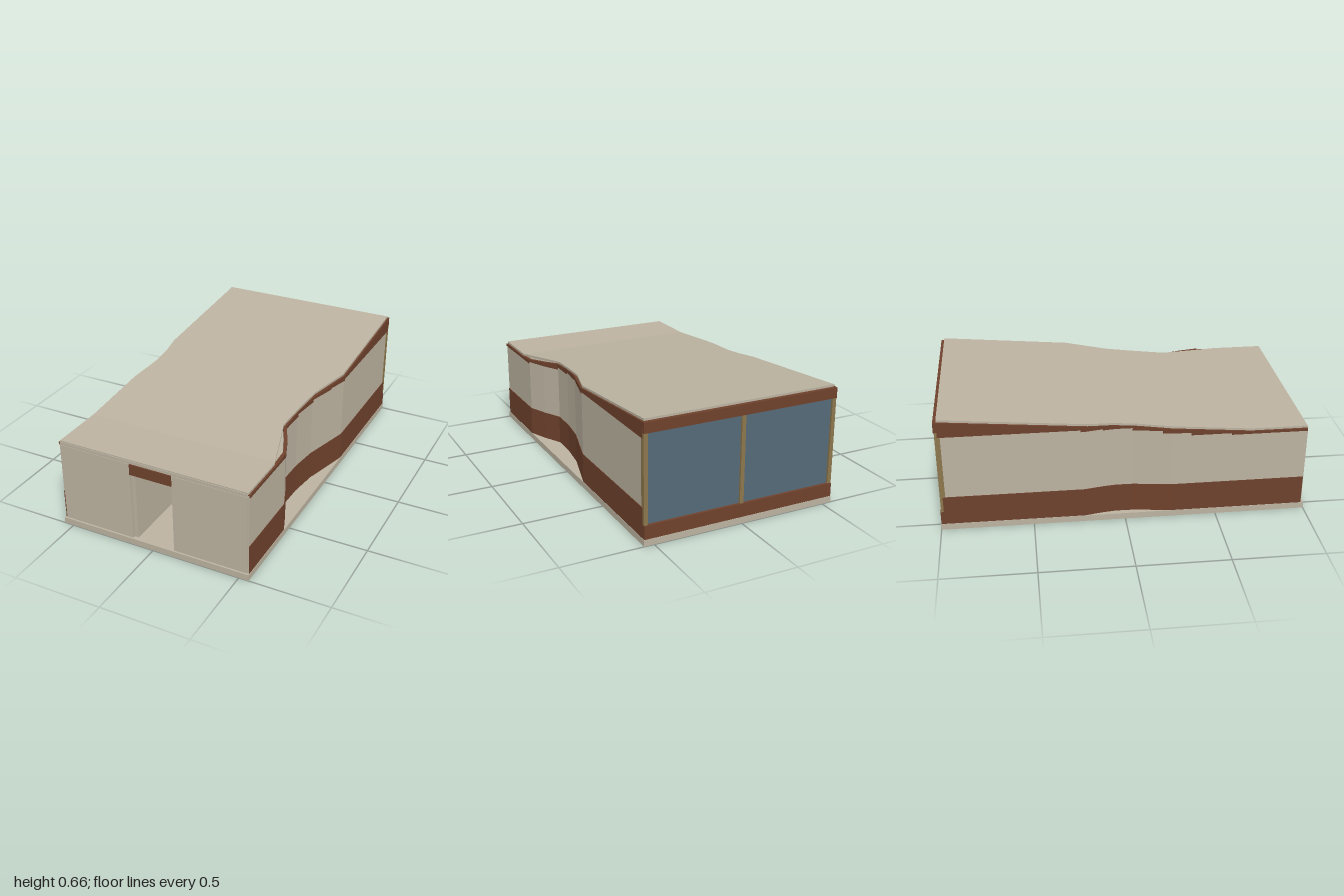
import * as THREE from 'three';

const mat = (name, color) => {
  const m = new THREE.MeshStandardMaterial({ color });
  m.name = name;
  return m;
};

// Lofts a rectangular section along z; each station is [z, x0, x1, bottom, top], front to back.
function loft(stations) {
  const rings = stations.map(([z, x0, x1, b, t]) => [[x0, b, z], [x1, b, z], [x1, t, z], [x0, t, z]]);
  const pos = [];
  const quad = (a, b, c, d) => pos.push(...a, ...b, ...c, ...a, ...c, ...d);
  for (let i = 0; i < rings.length - 1; i++) {
    const p = rings[i], q = rings[i + 1];
    for (let j = 0; j < 4; j++) {
      const k = (j + 1) % 4;
      quad(p[j], q[j], q[k], p[k]);
    }
  }
  quad(...rings[0]);
  quad(...rings[rings.length - 1].slice().reverse());
  const g = new THREE.BufferGeometry();
  g.setAttribute('position', new THREE.Float32BufferAttribute(pos, 3));
  g.computeVertexNormals();
  return g;
}

const FLOOR = 0.035, KINK = 0.68, BACK = -0.98;
// Roof is level at the front, then climbs steadily to the back
const roofTop = z => 0.515 + 0.145 * Math.max(0, (KINK - z) / (KINK - BACK));
const roofBase = z => roofTop(z) - 0.012;

// Piecewise-linear x along a list of [z, x], front to back
function xAt(path, z) {
  for (let i = 0; i < path.length - 1; i++) {
    const [z0, x0] = path[i], [z1, x1] = path[i + 1];
    if (z <= z0 && z >= z1) return x0 + (x1 - x0) * (z0 - z) / (z0 - z1);
  }
  return path[path.length - 1][1];
}

export function createModel() {
  const cream = mat('cream plaster', 0xbbb2a0);
  const brown = mat('brown wood', 0x6e412c);
  const ochre = mat('ochre frame', 0x8c764c);
  const glass = mat('blue grey glass', 0x566a79);
  const white = mat('white ceramic', 0xd8d6d0);

  const model = new THREE.Group();
  const add = (name, geo, m, parent = model) => {
    const mesh = new THREE.Mesh(geo, m);
    mesh.name = name;
    parent.add(mesh);
    return mesh;
  };
  // Box from its extents
  const box = (name, m, x0, x1, y0, y1, z0, z1, parent) => {
    const mesh = add(name, new THREE.BoxGeometry(x1 - x0, y1 - y0, z1 - z0), m, parent);
    mesh.position.set((x0 + x1) / 2, (y0 + y1) / 2, (z0 + z1) / 2);
    return mesh;
  };

  box('floorSlab', cream, -0.555, 0.555, 0, FLOOR, -1, 1);

  // Plan outlines of the walls and the roof edge on each side
  const leftWall = [[0.985, 0.55], [KINK, 0.55], [0.57, 0.55], [0.455, 0.505], [0.35, 0.452],
    [0.2, 0.455], [0.04, 0.475], [-0.12, 0.518], [-0.24, 0.55], [BACK, 0.55]];
  const rightWall = [[0.985, -0.55], [KINK, -0.55], [0.25, -0.55], [0.13, -0.533], [0.04, -0.522],
    [-0.05, -0.521], [-0.12, -0.53], [-0.22, -0.55], [BACK, -0.55]];
  const leftRoof = [[0.985, 0.545], [0.69, 0.545], [0.36, 0.445], [0.3, 0.447], [0.14, 0.46],
    [0, 0.475], [-0.24, 0.545], [BACK, 0.545]];
  const rightRoof = [[0.985, -0.545], [0.25, -0.545], [0.1, -0.528], [0.03, -0.522],
    [-0.08, -0.526], [-0.2, -0.545], [BACK, -0.545]];

  // Roof
  const zs = [...new Set([...leftRoof, ...rightRoof].map(p => p[0]).concat(KINK))].sort((a, b) => b - a);
  add('roof', loft(zs.map(z => [z, xAt(rightRoof, z), xAt(leftRoof, z), roofBase(z), roofTop(z)])), cream);

  // Fascia bottom rises in steps: [from z, height]
  const steps = [[0.985, 0.488], [0.57, 0.498], [0.35, 0.514], [0.2, 0.53], [0.04, 0.545],
    [-0.12, 0.552], [-0.24, 0.562]];
  const stepAt = z => steps.filter(s => s[0] >= z).pop()[1];

  for (const [side, path, s] of [['left', leftWall, 1], ['right', rightWall, -1]]) {
    // Section between an inner and an outer offset from the wall line
    const sect = (z, inner, outer, b, t) => {
      const x = xAt(path, z);
      const xs = [x - s * inner, x + s * outer].sort((p, q) => p - q);
      return [z, xs[0], xs[1], b, t];
    };
    add(side + 'Wall', loft(path.map(([z]) => sect(z, 0.012, 0, FLOOR, roofBase(z) - 0.004))), cream);
    add(side + 'BaseBand', loft(path.map(([z]) => sect(z, 0.002, 0.003, FLOOR, 0.2))), brown);

    const fz = [...new Set([...path, ...steps].map(p => p[0]))].sort((a, b) => b - a);
    const stations = [];
    fz.forEach((z, i) => {
      if (i) stations.push(sect(z, 0.014, 0.005, stepAt(fz[i - 1] - 1e-4), roofBase(z)));
      if (i < fz.length - 1) stations.push(sect(z, 0.014, 0.005, stepAt(z - 1e-4), roofBase(z)));
    });
    add(side + 'Fascia', loft(stations), brown);

    // Front wall panel beside the doorway
    const xs = [s * 0.122, s * 0.543].sort((p, q) => p - q);
    box(side + 'FrontPanel', cream, xs[0], xs[1], FLOOR, 0.49, 0.975, 0.99);
  }

  // Front lintel and door header
  box('frontLintel', cream, -0.543, 0.543, 0.49, 0.508, 0.975, 0.988);
  box('doorHeader', brown, -0.122, 0.122, 0.43, 0.492, 0.972, 0.994);

  // Back window wall
  box('backSill', brown, -0.553, 0.553, FLOOR, 0.11, -0.998, -0.968);
  box('backHeader', brown, -0.553, 0.553, 0.59, 0.646, -0.998, -0.968);
  box('backGlass', glass, -0.545, 0.545, 0.11, 0.59, -0.982, -0.976);
  for (const x of [-0.542, 0, 0.542])
    box('windowPost', ochre, x - 0.011, x + 0.011, 0.11, 0.59, -0.994, -0.966);

  // Entry partition and the open door leaf
  box('entryPartition', cream, -0.125, -0.1, FLOOR, 0.5, 0.5, 0.975);
  box('doorLeaf', brown, -0.1, -0.088, FLOOR, 0.42, 0.36, 0.49);

  // Dining table
  const table = new THREE.Group();
  table.name = 'table';
  model.add(table);
  box('tableTop', brown, -0.075, 0.078, 0.13, 0.138, 0, 0.2, table);
  for (const x of [-0.045, 0.045])
    for (const z of [0.03, 0.17])
      box('tableLeg', brown, x - 0.005, x + 0.005, FLOOR, 0.13, z - 0.005, z + 0.005, table);

  // Bench under the window side of the table
  box('bench', brown, -0.04, 0.04, FLOOR, 0.105, -0.12, -0.03);

  // Chair facing the table
  const chair = new THREE.Group();
  chair.name = 'chair';
  model.add(chair);
  box('chairSeat', brown, 0.06, 0.13, 0.08, 0.095, 0.04, 0.16, chair);
  box('chairBack', brown, 0.115, 0.13, FLOOR, 0.19, 0.04, 0.16, chair);
  box('chairFrame', brown, 0.065, 0.115, FLOOR, 0.185, 0.03, 0.04, chair);

  // Side shelf with a jar
  box('shelf', brown, -0.1, -0.05, 0.065, 0.09, 0.22, 0.32);
  const jar = add('jar', new THREE.CylinderGeometry(0.012, 0.012, 0.045, 16), white);
  jar.position.set(-0.078, 0.1125, 0.27);

  return model;
}
